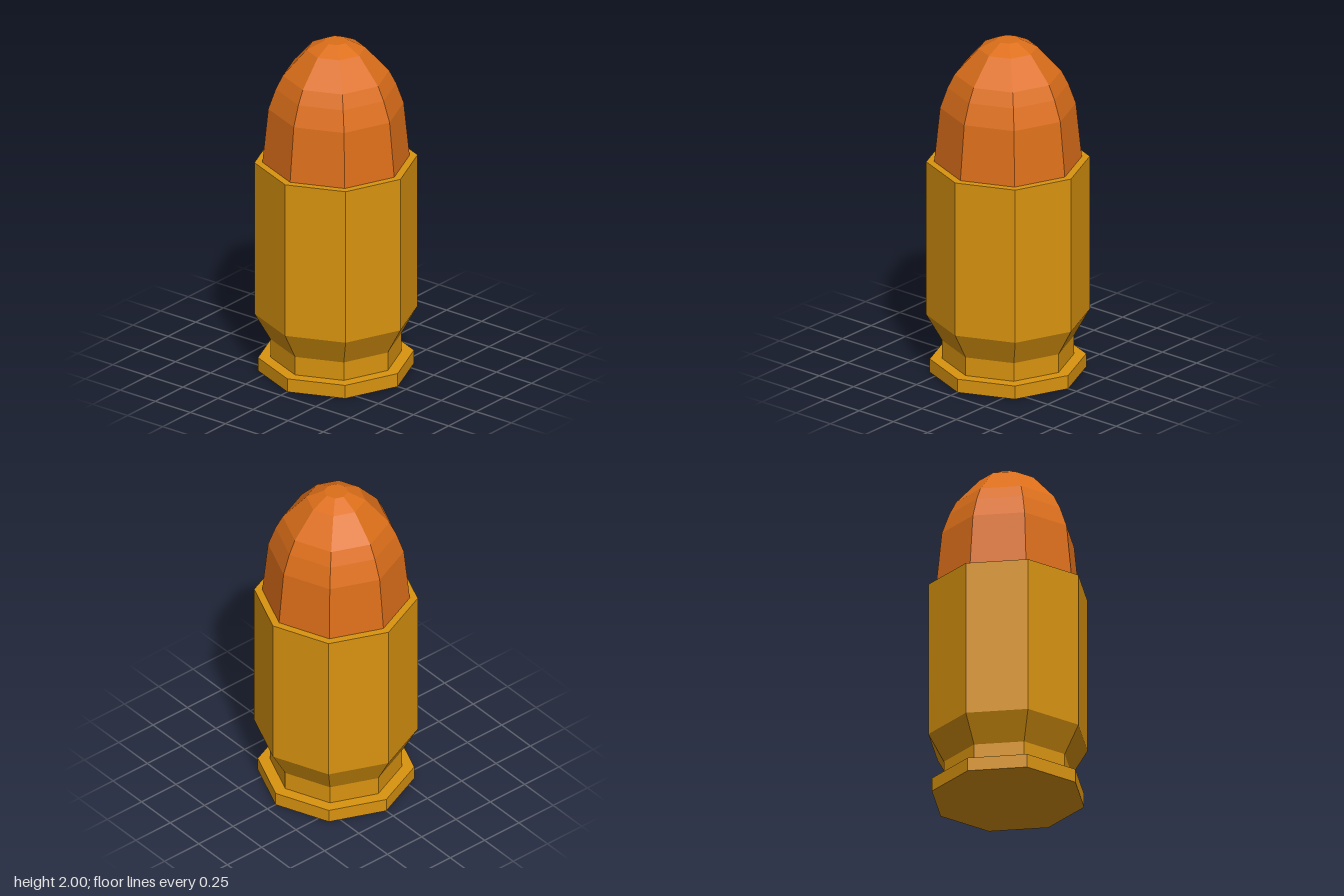
import * as THREE from 'three';

const SIDES = 8;

// Faceted solid of revolution from [radius, height] pairs, bottom to top
function turned(name, color, profile) {
  const points = profile.map(([r, y]) => new THREE.Vector2(r, y));
  const mesh = new THREE.Mesh(
    new THREE.LatheGeometry(points, SIDES),
    new THREE.MeshStandardMaterial({ color, flatShading: true })
  );
  mesh.name = name;
  return mesh;
}

export function createModel() {
  const group = new THREE.Group();
  group.name = 'cartridge';

  // Brass case: rim, extractor groove, taper, straight wall, mouth
  group.add(turned('case', 0xd9930f, [
    [0, 0], [0.44, 0], [0.44, 0.08],
    [0.37, 0.08], [0.37, 0.19],
    [0.46, 0.35], [0.46, 1.275], [0.41, 1.275],
  ]));

  // Rounded copper tip with a small flat nose
  group.add(turned('bullet', 0xdd6f1a, [
    [0.415, 1.275], [0.382, 1.6], [0.34, 1.72],
    [0.3, 1.8], [0.166, 1.95], [0.067, 2], [0, 2],
  ]));

  return group;
}
